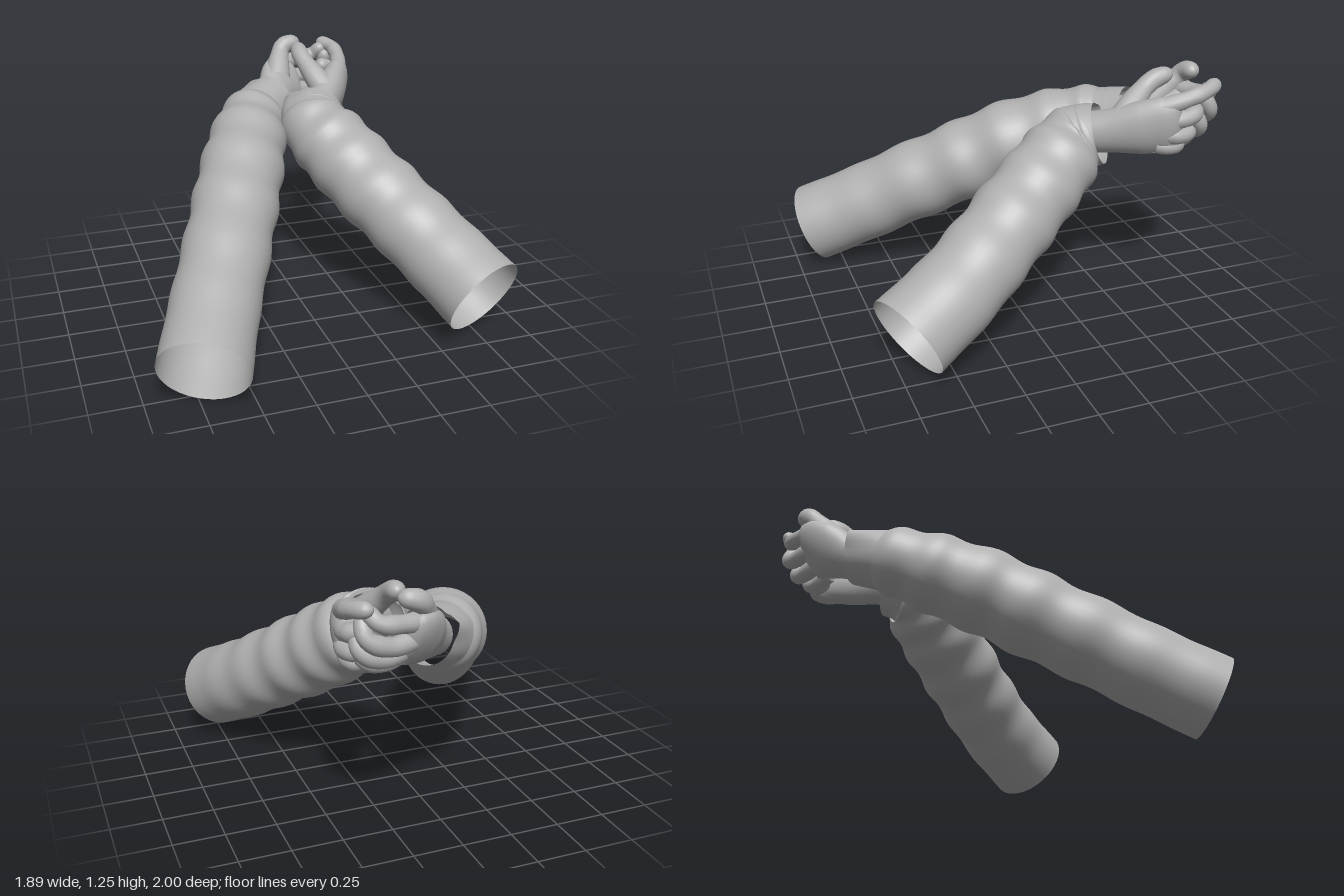
import * as THREE from 'three';

const grey = new THREE.MeshStandardMaterial({ color: 0xb0b0b0, side: THREE.DoubleSide });
grey.name = 'plain grey';
const UP = new THREE.Vector3(0, 1, 0);

// Value of a list of numbers at t in 0..1
function along(list, t) {
  const f = t * (list.length - 1), i = Math.min(Math.floor(f), list.length - 2);
  return THREE.MathUtils.lerp(list[i], list[i + 1], f - i);
}

// Sweeps an elliptical section along a smooth path.
// wide = horizontal half sizes, tall = vertical half sizes, swell(t, angle) is added to both,
// roll turns the section about the path.
function sweep(name, points, wide, tall, { steps = 24, sides = 20, tip = 1, roll = 0, swell = () => 0 } = {}) {
  const curve = new THREE.CatmullRomCurve3(points.map(p => new THREE.Vector3(...p)));
  const pos = [], index = [];
  for (let i = 0; i <= steps; i++) {
    const u = i / steps, t = tip < 1 ? Math.sin(u * Math.PI / 2) : u;
    const c = curve.getPoint(t), dir = curve.getTangent(t);
    const side = dir.clone().cross(UP).normalize().applyAxisAngle(dir, roll), up = side.clone().cross(dir);
    const e = t > tip ? (t - tip) / (1 - tip) : 0;
    const round = Math.sqrt(Math.max(0.0004, 1 - e * e));
    for (let j = 0; j < sides; j++) {
      const a = j / sides * Math.PI * 2, s = swell(t, a);
      const p = c.clone()
        .addScaledVector(side, Math.cos(a) * (along(wide, t) + s) * round)
        .addScaledVector(up, Math.sin(a) * (along(tall, t) + s) * round);
      pos.push(p.x, p.y, p.z);
      if (i < steps) {
        const k = (j + 1) % sides, r = i * sides, n = r + sides;
        index.push(r + j, n + j, r + k, r + k, n + j, n + k);
      }
    }
  }
  const geo = new THREE.BufferGeometry();
  geo.setAttribute('position', new THREE.Float32BufferAttribute(pos, 3));
  geo.setIndex(index);
  geo.computeVertexNormals();
  const mesh = new THREE.Mesh(geo, grey);
  mesh.name = name;
  return mesh;
}

// Soft rolling folds, fading out at the open shoulder end
const folds = (count, phase) => (t, a) =>
  0.008 * Math.min(1, t * 2.5) * Math.sin(t * count * Math.PI * 2 + phase + 0.7 * Math.sin(a + 0.6));

// One pointed corner on the loose end of a cuff
const corner = (t, a) => 0.035 * t * Math.max(0, 1 - Math.abs(a - 2.7) / 0.5);

function arm(name, { sleeve, cuff, palm, fingers, thumb }) {
  const g = new THREE.Group();
  g.name = name;
  g.add(sweep('sleeve', sleeve.path, sleeve.r, sleeve.r,
    { steps: 110, sides: 40, swell: folds(sleeve.folds, sleeve.phase) }));
  g.add(sweep('cuff', cuff.path, cuff.r, cuff.r, { steps: 10, sides: 40, swell: corner }));
  g.add(sweep('palm', palm.path, palm.wide, palm.tall, { tip: 0.84, sides: 28, roll: palm.roll }));
  fingers.forEach((path, i) => {
    const r = [0.045, 0.047, 0.046, 0.042][i];
    const radii = [r, r * 1.02, r * 0.9, r * 0.97, r * 0.84, r * 0.88, r * 0.75];
    g.add(sweep('finger' + (i + 1), path, radii, radii, { tip: 0.88, sides: 14 }));
  });
  const tr = [0.075, 0.064, 0.05, 0.05, 0.038];
  g.add(sweep('thumb', thumb, tr, tr, { tip: 0.86, sides: 16 }));
  return g;
}

export function createModel() {
  const model = new THREE.Group();
  model.name = 'clasped arms';

  model.add(arm('rightArm', {
    sleeve: {
      path: [[-0.742, 0.198, 0.88], [-0.63, 0.325, 0.62], [-0.505, 0.47, 0.36], [-0.385, 0.605, 0.1],
        [-0.28, 0.725, -0.13], [-0.18, 0.815, -0.36], [-0.095, 0.875, -0.54], [0, 0.915, -0.65]],
      r: [0.22, 0.216, 0.217, 0.22, 0.22, 0.208, 0.18, 0.145], folds: 7, phase: 0.5,
    },
    cuff: {
      path: [[-0.075, 0.885, -0.575], [0, 0.915, -0.645], [0.07, 0.94, -0.7]],
      r: [0.16, 0.15, 0.14],
    },
    // Palm turned partly upward, little finger side inward
    palm: {
      path: [[0.02, 0.92, -0.66], [0.1, 0.95, -0.75], [0.155, 0.985, -0.83], [0.21, 1.005, -0.88], [0.28, 1.01, -0.91]],
      wide: [0.095, 0.09, 0.085, 0.07, 0.05], tall: [0.1, 0.115, 0.145, 0.155, 0.135], roll: -0.6,
    },
    // Fingers reach across below the other hand and curl upward
    fingers: [
      [[0.18, 1.09, -0.91], [0.29, 1.1, -0.95], [0.4, 1.12, -0.96], [0.45, 1.18, -0.91]],
      [[0.2, 1.01, -0.9], [0.34, 1, -0.94], [0.45, 1.05, -0.945], [0.455, 1.15, -0.89]],
      [[0.22, 0.95, -0.85], [0.36, 0.93, -0.89], [0.46, 0.98, -0.89], [0.455, 1.07, -0.84]],
      [[0.23, 0.9, -0.79], [0.34, 0.88, -0.82], [0.43, 0.92, -0.83], [0.43, 1.0, -0.8]],
    ],
    thumb: [[0.13, 1.03, -0.8], [0.165, 1.12, -0.88], [0.205, 1.185, -0.93], [0.305, 1.215, -0.935]],
  }));

  model.add(arm('leftArm', {
    sleeve: {
      path: [[0.73, 0.248, 0.725], [0.62, 0.38, 0.46], [0.492, 0.525, 0.22], [0.365, 0.665, 0],
        [0.262, 0.793, -0.19], [0.195, 0.875, -0.32], [0.21, 0.905, -0.39]],
      r: [0.222, 0.217, 0.215, 0.216, 0.21, 0.183, 0.16], folds: 7, phase: 1.5,
    },
    cuff: {
      path: [[0.19, 0.88, -0.325], [0.205, 0.9, -0.38], [0.245, 0.92, -0.44]],
      r: [0.18, 0.167, 0.157],
    },
    palm: {
      path: [[0.2, 0.92, -0.37], [0.29, 0.945, -0.48], [0.38, 0.975, -0.6], [0.445, 1, -0.7], [0.485, 1.005, -0.78]],
      wide: [0.1, 0.093, 0.09, 0.078, 0.05], tall: [0.105, 0.115, 0.145, 0.155, 0.14], roll: 0.2,
    },
    // Straight index finger, the others curl inward
    fingers: [
      [[0.46, 1.1, -0.67], [0.495, 1.14, -0.79], [0.495, 1.17, -0.89], [0.44, 1.19, -0.985]],
      [[0.46, 1.03, -0.69], [0.49, 1.04, -0.8], [0.46, 1.06, -0.86], [0.39, 1.08, -0.85]],
      [[0.46, 0.96, -0.68], [0.485, 0.95, -0.78], [0.44, 0.96, -0.835], [0.37, 0.99, -0.8]],
      [[0.44, 0.9, -0.65], [0.46, 0.885, -0.74], [0.42, 0.89, -0.79], [0.35, 0.92, -0.75]],
    ],
    thumb: [[0.33, 1.01, -0.52], [0.28, 1.1, -0.62], [0.25, 1.17, -0.72], [0.26, 1.21, -0.83]],
  }));

  return model;
}
